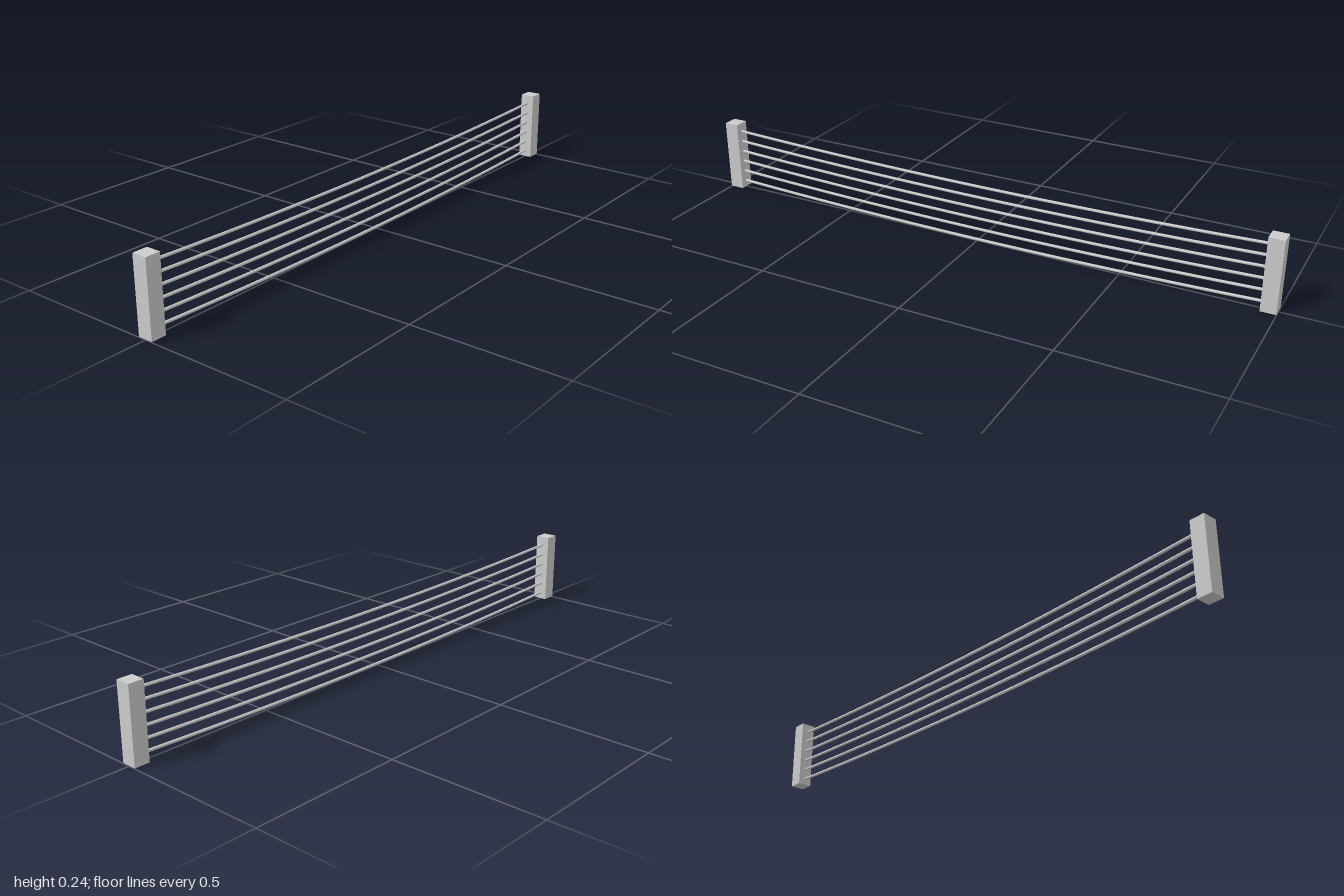
import * as THREE from 'three';

export function createModel() {
  const model = new THREE.Group();
  const material = new THREE.MeshStandardMaterial({ color: 0xcccccc });

  const postSize = 0.05, postBottom = 0.0015, postTop = 0.245;
  const postX = 1 - postSize / 2;

  // Square end posts
  for (const side of [1, -1]) {
    const post = new THREE.Mesh(
      new THREE.BoxGeometry(postSize, postTop - postBottom, postSize), material);
    post.name = side > 0 ? 'leftPost' : 'rightPost';
    post.position.set(side * postX, (postBottom + postTop) / 2, 0);
    model.add(post);
  }

  // Sagging cables strung between the post centres, the lowest touching the ground
  const count = 6, spacing = 0.0382, sag = 0.0195, radius = 0.005;
  const points = [];
  for (let i = 0; i <= 16; i++) {
    const t = i / 8 - 1;
    points.push(new THREE.Vector3(t * postX, sag * t * t, 0));
  }
  const cableGeometry = new THREE.TubeGeometry(
    new THREE.CatmullRomCurve3(points), 24, radius, 8, false);
  for (let i = 0; i < count; i++) {
    const cable = new THREE.Mesh(cableGeometry, material);
    cable.name = `cable${i + 1}`;
    cable.position.y = radius + i * spacing;
    model.add(cable);
  }
  return model;
}
